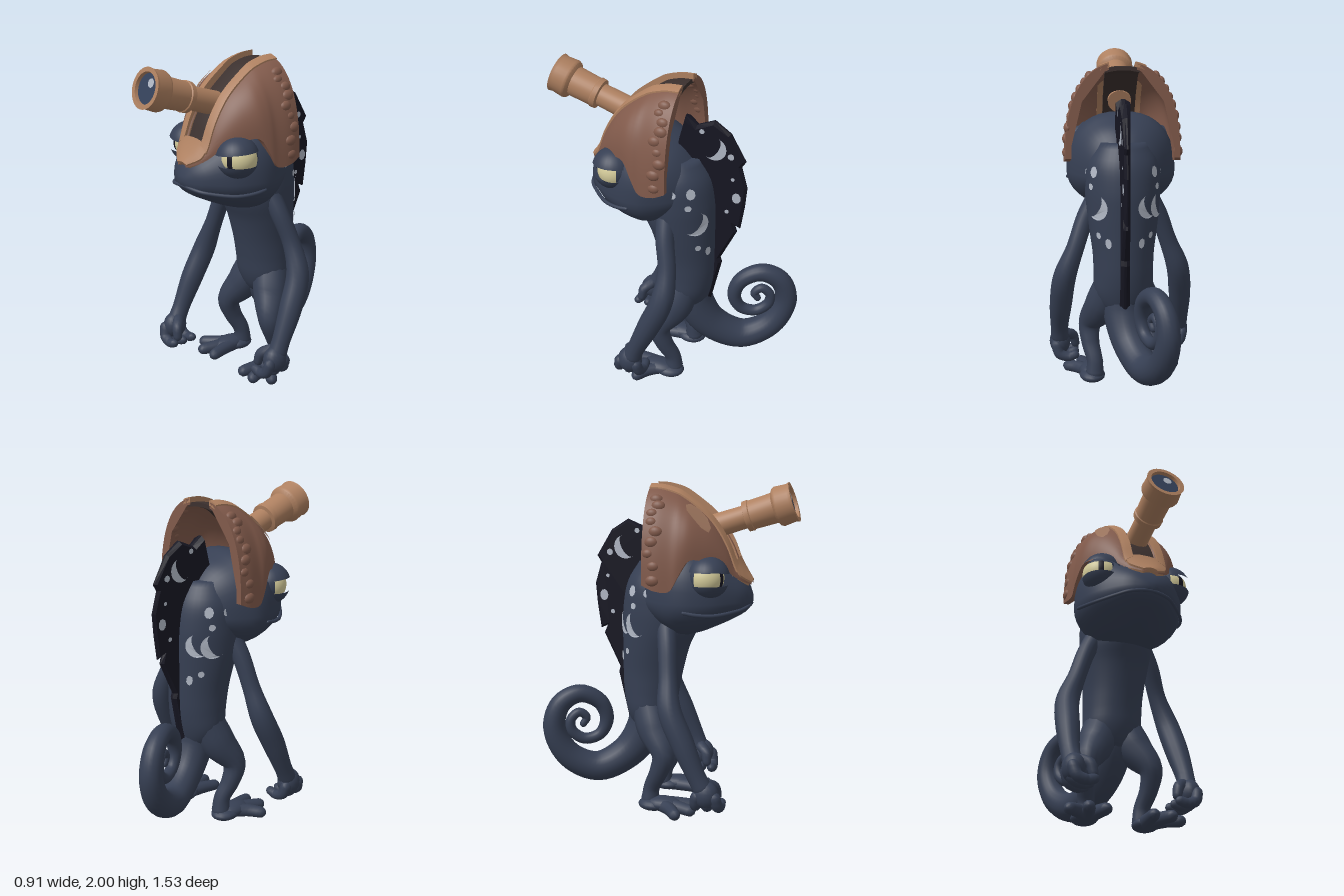
import * as THREE from 'three';
import { toCreasedNormals } from 'three/addons/utils/BufferGeometryUtils.js';

const V = (x, y, z) => new THREE.Vector3(x, y, z);
const mat = (name, color, side = THREE.FrontSide) => {
  const m = new THREE.MeshStandardMaterial({ color, side });
  m.name = name;
  return m;
};

// Smooth interpolation in a table of rows [key, ...values]
function at(rows, k) {
  let i = 0;
  while (i < rows.length - 2 && k > rows[i + 1][0]) i++;
  const h = rows[i + 1][0] - rows[i][0], t = THREE.MathUtils.clamp((k - rows[i][0]) / h, 0, 1);
  return rows[0].slice(1).map((_, c) => {
    const slope = j => {
      const a = rows[Math.max(j - 1, 0)], b = rows[Math.min(j + 1, rows.length - 1)];
      return (b[c + 1] - a[c + 1]) / (b[0] - a[0]);
    };
    const p = rows[i][c + 1], q = rows[i + 1][c + 1], t2 = t * t, t3 = t2 * t;
    return p * (2 * t3 - 3 * t2 + 1) + slope(i) * h * (t3 - 2 * t2 + t) + q * (3 * t2 - 2 * t3) + slope(i + 1) * h * (t3 - t2);
  });
}

// Closed skin over a list of rings, always facing outwards
function loft(rings) {
  const n = rings[0].length, pts = rings.flat(), idx = [];
  const mid = r => r.reduce((a, p) => a.add(p), V(0, 0, 0)).divideScalar(n);
  rings.slice(1).forEach((_, i) => {
    for (let j = 0; j < n; j++) {
      const a = i * n + j, b = i * n + (j + 1) % n;
      idx.push(a, b, a + n, b, b + n, a + n);
    }
  });
  const c0 = pts.length, last = (rings.length - 1) * n;
  pts.push(mid(rings[0]), mid(rings[rings.length - 1]));
  for (let j = 0; j < n; j++) {
    const k = (j + 1) % n;
    idx.push(c0, k, j, c0 + 1, last + j, last + k);
  }
  let vol = 0;
  for (let i = 0; i < idx.length; i += 3) vol += pts[idx[i]].dot(V(0, 0, 0).crossVectors(pts[idx[i + 1]], pts[idx[i + 2]]));
  if (vol < 0) idx.reverse();
  const g = new THREE.BufferGeometry().setFromPoints(pts);
  g.setIndex(idx);
  g.computeVertexNormals();
  return g;
}

// Tapered round-ended tube through points [x, y, z, radius]
function limb(pts, steps = 6, sides = 14, ref = V(1, 0.1, 0.25)) {
  const curve = new THREE.CatmullRomCurve3(pts.map(p => V(p[0], p[1], p[2])));
  const rad = pts.map((p, i) => [i, p[3]]), n = (pts.length - 1) * steps, rings = [];
  const ring = (c, t, r) => {
    const a = ref.clone().addScaledVector(t, -ref.dot(t)).normalize(), b = V(0, 0, 0).crossVectors(t, a);
    rings.push(Array.from({ length: sides }, (_, j) => {
      const q = j / sides * Math.PI * 2;
      return c.clone().addScaledVector(a, Math.cos(q) * r).addScaledVector(b, Math.sin(q) * r);
    }));
  };
  for (let i = 0; i <= n; i++) {
    const c = curve.getPoint(i / n), t = curve.getTangent(i / n), r = at(rad, i / steps)[0];
    const cap = (q, d) => ring(c.clone().addScaledVector(t, d * r * Math.sin(q)), t, r * Math.cos(q));
    if (i === 0) [1.4, 1, 0.5].forEach(q => cap(q, -1));
    ring(c, t, r);
    if (i === n) [0.5, 1, 1.4].forEach(q => cap(q, 1));
  }
  return loft(rings);
}

// Profiles: body [y, zCentre, halfWidth, halfDepth], head [z, halfWidth, top, bottom], helmet [z, halfWidth, top, bottom]
const BODY = [[0.46, -0.14, 0.06, 0.06], [0.5, -0.135, 0.12, 0.11], [0.6, -0.13, 0.175, 0.15], [0.72, -0.13, 0.18, 0.17], [0.85, -0.12, 0.185, 0.185],
  [1, -0.1, 0.205, 0.205], [1.12, -0.075, 0.22, 0.23], [1.25, -0.07, 0.225, 0.23], [1.4, -0.07, 0.21, 0.2], [1.52, -0.05, 0.15, 0.15]];
const HEAD = [[-0.2, 0.12, 1.46, 1.25], [-0.1, 0.23, 1.58, 1.17], [0, 0.3, 1.64, 1.1], [0.08, 0.33, 1.67, 1.08], [0.18, 0.325, 1.65, 1.1],
  [0.3, 0.275, 1.57, 1.15], [0.4, 0.19, 1.47, 1.2], [0.46, 0.115, 1.4, 1.24], [0.488, 0.04, 1.34, 1.28]];
const HELMET = [[-0.106, 0.34, 1.985, 1.42], [-0.03, 0.35, 1.98, 1.39], [0.06, 0.34, 1.955, 1.39], [0.1, 0.335, 1.93, 1.46], [0.16, 0.31, 1.885, 1.56], [0.24, 0.265, 1.82, 1.56],
  [0.3, 0.225, 1.75, 1.54], [0.36, 0.18, 1.65, 1.5], [0.4, 0.145, 1.55, 1.46], [0.44, 0.11, 1.48, 1.43], [0.485, 0.04, 1.42, 1.4]];

const FULL = 2.4; // roundness of the helmet arch
const soft = v => Math.sign(v) * Math.abs(v) ** (2 / FULL);
const steps = (a, b, n) => Array.from({ length: n + 1 }, (_, i) => a + (b - a) * i / n);
const onHelmet = (x, z, lift) => {
  const [w, t, b] = at(HELMET, z), u = THREE.MathUtils.clamp(x, -w * 0.97, w * 0.97);
  return V(u, b + (t - b) * (1 - Math.abs(u / w) ** FULL) ** (1 / FULL) + lift * 0.8, z + lift * 0.65 * THREE.MathUtils.clamp((z + 0.106) / 0.3, 0, 1));
};
// Solid band lying along the helmet, rounded off towards the brow
const strip = (x0, x1, z0, z1, low, high) => toCreasedNormals(loft(steps(z0, z1, 32).map(z => {
  const k = Math.sqrt(1 - (Math.max(0, z - 0.385) / 0.103) ** 2);
  return [...steps(x0 * k, x1 * k, 8).map(x => onHelmet(x, z, high)), ...steps(x1 * k, x0 * k, 8).map(x => onHelmet(x, z, low))];
})), 0.7);

// One half of the helmet shell, open at the back and along the slot
function helmetHalf(s) {
  const zs = steps(-0.106, 0.485, 44), n = 18;
  const ring = (z, squash) => {
    const [w, t, b] = at(HELMET, z), th = Math.min(0.035, w * 0.35, (t - b) * 0.4);
    const q0 = Math.asin(Math.min(0.09 / w, 0.6) ** (FULL / 2));
    const arc = d => steps(q0, Math.PI / 2, n).map(q => V(s * (w - d) * soft(Math.sin(q)), b + (t - b - d) * soft(Math.cos(q)), z));
    return [...arc(squash ? th / 2 : 0), ...arc(squash ? th / 2 : th).reverse()];
  };
  return toCreasedNormals(loft([ring(zs[0], true), ...zs.map(z => ring(z, false)), ring(zs[44], true)]), 0.8);
}

// Flat outlines: first coordinate towards the front, second upwards
const blob = (z, y, r, k = 1) => steps(0, Math.PI * 2, 9).slice(0, 9).map(a => new THREE.Vector2(z + r * Math.cos(a), y + r * k * Math.sin(a)));
const moon = (z, y, r, tilt) => [...steps(-1.9, 1.9, 14).map(a => [Math.cos(a), Math.sin(a)]),
  ...steps(1.9, -1.9, 14).slice(1, -1).map(a => [Math.cos(a) * 0.5 - 0.16, Math.sin(a)])]
  .map(([u, v]) => new THREE.Vector2(-u * r, v * r).rotateAround(new THREE.Vector2(), tilt).add(new THREE.Vector2(z, y)));
// Lays an outline onto a surface given by a rule
function decal(outline, rule) {
  const g = new THREE.ShapeGeometry(new THREE.Shape(outline)), p = g.attributes.position;
  for (let i = 0; i < p.count; i++) p.setXYZ(i, ...rule(p.getX(i), p.getY(i)));
  g.computeVertexNormals();
  return g;
}
const crestTaper = z => 1 + (z + 0.15) * 1.9;

export function createModel() {
  const root = new THREE.Group();
  root.name = 'chameleonWithTelescopeHelmet';
  const skin = mat('skin', 0x363f53), crestMat = mat('crest', 0x161622), copper = mat('copper', 0x815a4b), brass = mat('brass', 0xae8060),
    slot = mat('slot', 0x3b302e), eyeMat = mat('eye', 0xd6cd9c, THREE.DoubleSide), star = mat('star', 0xb0b7c4, THREE.DoubleSide), glass = mat('glass', 0x34415a, THREE.DoubleSide);
  const add = (name, geo, m, parent = root) => {
    const o = new THREE.Mesh(geo, m);
    o.name = name;
    parent.add(o);
    return o;
  };
  const ball = (name, m, x, y, z, a, b, c) => {
    const o = add(name, new THREE.SphereGeometry(1, 18, 12), m);
    o.position.set(x, y, z);
    o.scale.set(a, b, c);
    return o;
  };
  const around = steps(0, Math.PI * 2, 40).slice(0, 40);

  // Torso and head
  add('torso', loft(steps(0.46, 1.52, 36).map(y => {
    const [c, w, d] = at(BODY, y);
    return around.map(a => V(w * Math.cos(a), y, c + d * Math.sin(a)));
  })), skin);
  add('head', loft(steps(-0.2, 0.488, 36).map(z => {
    const [w, t, b] = at(HEAD, z);
    return around.map(a => Math.cos(a) > 0 ? V(w * soft(Math.sin(a)), 1.31 + soft(Math.cos(a)) * (t - 1.31), z) : V(w * Math.sin(a), 1.31 + Math.cos(a) * (1.31 - b), z));
  })), skin);
  const lip = [0.14, 0.2, 0.3, 0.4, 0.455].map(z => [at(HEAD, z)[0] * 0.98, 1.27 - 0.025 * Math.sin((z - 0.12) * 9), z, 0.011]);
  add('lip', limb([...lip.map(p => [-p[0], ...p.slice(1)]), [0, 1.28, 0.478, 0.012], ...lip.reverse()], 5, 8, V(0, 1, 0)), skin);

  // Curled tail in a slanted plane: [z, y, radius]
  const tail = [[-0.13, 0.66, 0.13], [-0.17, 0.47, 0.122], [-0.28, 0.31, 0.105], [-0.455, 0.225, 0.093], [-0.62, 0.31, 0.08], [-0.7, 0.49, 0.07], [-0.66, 0.64, 0.063],
    [-0.55, 0.7, 0.056], [-0.435, 0.64, 0.049], [-0.4, 0.53, 0.043], [-0.44, 0.435, 0.037], [-0.53, 0.41, 0.035], [-0.6, 0.465, 0.033], [-0.605, 0.535, 0.03],
    [-0.557, 0.58, 0.028], [-0.515, 0.545, 0.025], [-0.535, 0.505, 0.022]];
  add('tail', limb(tail.map(([z, y, r]) => [0.43 * Math.min(0, z + 0.2), y, z, r]), 6, 18, V(1, 0, -0.43)), skin);

  // Jagged back crest, thinner towards its outer edge
  const crest = [[-0.03, 1.5], [-0.1, 1.77], [-0.17, 1.72], [-0.275, 1.765], [-0.375, 1.7], [-0.47, 1.54], [-0.445, 1.5], [-0.483, 1.37], [-0.472, 1.24], [-0.45, 1.09],
    [-0.41, 1.11], [-0.43, 1.06], [-0.33, 0.85], [-0.34, 0.82], [-0.275, 0.53], [-0.2, 0.6], [-0.2, 1.2]];
  const crestGeo = new THREE.ExtrudeGeometry(new THREE.Shape(crest.map(p => new THREE.Vector2(...p))),
    { depth: 0.02, bevelThickness: 0.03, bevelSize: 0.015, bevelOffset: -0.015, bevelSegments: 1 });
  crestGeo.translate(0, 0, -0.01).rotateY(-Math.PI / 2);
  const cp = crestGeo.attributes.position;
  for (let i = 0; i < cp.count; i++) cp.setX(i, cp.getX(i) * crestTaper(cp.getZ(i)));
  crestGeo.computeVertexNormals();
  add('backCrest', crestGeo, crestMat);

  for (const s of [1, -1]) {
    const flip = p => [s * p[0], ...p.slice(1)];

    // Moons and stars on the crest
    const crestMarks = [moon(-0.285, 1.6, 0.072, 0.5), blob(-0.385, 1.565, 0.02), blob(-0.425, 1.3, 0.027, 1.3), blob(-0.21, 1.7, 0.016), blob(-0.4, 1.42, 0.012), blob(-0.37, 1.2, 0.014)];
    crestMarks.forEach(o => add('crestMark', decal(o, (z, y) => [s * (0.04 * crestTaper(z) + 0.003), y, z]), star));
    // Marks wrapped around the back, placed by distance from the flank
    const bodyMarks = [blob(-0.03, 1.352, 0.024), blob(-0.14, 1.358, 0.028, 1.2), blob(-0.12, 1.27, 0.02), blob(-0.23, 0.945, 0.022, 1.4), blob(-0.16, 0.985, 0.02)];
    bodyMarks.push(...(s > 0 ? [moon(-0.16, 1.155, 0.078, 0.6)] : [moon(-0.105, 1.155, 0.075, 0.5), moon(-0.195, 1.16, 0.07, 0.5)]));
    bodyMarks.forEach(o => add('bodyMark', decal(o, (u, y) => {
      const [c, w, d] = at(BODY, y), a = u / 0.215;
      return [s * (w + 0.007) * Math.cos(a), y, c + (d + 0.007) * Math.sin(a)];
    }), star));

    // Turret eyes sunk between heavy lids, the upper one drooping inwards
    const dome = (name, r, m, z, a0, a1, t0, t1) => {
      const phi = Math.PI / 2 + (s > 0 ? a0 : -a1);
      const o = add(name, new THREE.SphereGeometry(r, 28, 14, phi, a1 - a0, t0, t1 - t0), m);
      o.position.set(s * 0.222, 1.458, z);
      return o;
    };
    dome('eyeball', 0.108, skin, 0.245, 0, Math.PI * 2, 0, Math.PI);
    dome('eye', 0.111, eyeMat, 0.245, -0.3, 2, 1.2, 1.95);
    dome('pupil', 0.114, crestMat, 0.245, 0.2, 0.5, 1.2, 1.95);
    dome('upperLid', 0.127, skin, 0.262, 0, Math.PI * 2, 0, 1.34).rotation.z = s * 0.14;
    dome('lowerLid', 0.123, skin, 0.262, 0, Math.PI * 2, 1.87, Math.PI);

    // Arms, the right one swung forward
    const swing = s > 0 ? [0, 0, 0, 0, 0, 0, 0] : [0.04, 0.08, 0.14, 0.16, 0.17, 0.17, 0.18];
    const arm = [[0.16, 1.17, -0.04, 0.06], [0.225, 1.05, -0.06, 0.056], [0.29, 0.87, -0.1, 0.055], [0.355, 0.69, -0.095, 0.07], [0.38, 0.5, -0.02, 0.07], [0.39, 0.32, 0.06, 0.056], [0.388, 0.24, 0.09, 0.058]];
    add('arm', limb(arm.map((p, i) => flip([p[0], p[1], p[2] + swing[i], p[3]]))), skin);
    const hz = 0.11 + swing[6];
    ball('palm', skin, s * 0.388, 0.2, hz, 0.066, 0.085, 0.078);
    for (const d of [-0.05, 0.005, 0.06])
      add('finger', limb([[0.41, 0.19, hz + d, 0.036], [0.392, 0.135, hz + d * 1.2, 0.034], [0.34, 0.115, hz + d * 1.3, 0.031], [0.295, 0.125, hz + d * 1.3, 0.028]].map(flip), 4, 10), skin);
    add('thumb', limb([[0.35, 0.25, hz, 0.036], [0.305, 0.22, hz + 0.04, 0.033], [0.29, 0.165, hz + 0.05, 0.028]].map(flip), 4, 10), skin);

    // Bent legs and splayed feet
    add('leg', limb([[0.07, 0.64, -0.13, 0.11], [0.125, 0.5, -0.08, 0.11], [0.2, 0.36, -0.01, 0.073], [0.2, 0.25, -0.04, 0.057], [0.175, 0.14, -0.09, 0.05], [0.175, 0.06, -0.1, 0.057]].map(flip)), skin);
    ball('heel', skin, s * 0.19, 0.04, -0.075, 0.08, 0.04, 0.095);
    ball('instep', skin, s * 0.2, 0.05, -0.01, 0.07, 0.045, 0.11);
    for (const [x, z] of [[0.145, 0.155], [0.25, 0.165], [0.335, 0.09]])
      add('toe', limb([[0.18, 0.045, -0.07, 0.045], [0.18 + (x - 0.18) * 0.55, 0.042, z * 0.45, 0.04], [x, 0.036, z, 0.036]].map(flip), 4, 10), skin);

    // Helmet side with edging along the slot and low lumps along the rim
    add('helmetSide', helmetHalf(s), copper);
    add('slotEdging', strip(s * 0.08, s * 0.135, -0.106, 0.41, -0.03, 0.01), brass);
    for (let i = 0; i < 9; i++) {
      const q = 0.55 + i * 0.12, [w, t, b] = at(HELMET, -0.04), r = 0.02 + 0.007 * Math.abs(Math.sin(i * 2.3 + s));
      ball('rimLump', copper, s * (w - 0.014) * soft(Math.sin(q)), b + (t - b - 0.014) * soft(Math.cos(q)), -0.05 + 0.02 * Math.sin(i * 1.9), r, r * 1.3, r * 1.6);
    }
  }
  add('browPlate', strip(-0.13, 0.13, 0.4, 0.485, -0.02, 0.01), brass);
  add('slotFloor', strip(-0.1, 0.1, -0.1, 0.42, -0.06, -0.03), slot);
  add('helmetSpot', decal(blob(-0.2, 0.19, 0.042, 1.75), (x, z) => onHelmet(x, z, 0.014).toArray()), mat('wornCopper', 0x9a735c, THREE.DoubleSide));

  // Telescope along its own axis
  const scope = new THREE.Group();
  scope.name = 'telescope';
  scope.position.set(0, 1.715, 0.2);
  scope.rotation.x = 1.255;
  root.add(scope);
  const profile = [[0, 0], [0.072, 0], [0.068, 0.25], [0.09, 0.255], [0.092, 0.285], [0.086, 0.29], [0.09, 0.43], [0.112, 0.445], [0.118, 0.46], [0.112, 0.53], [0.118, 0.55], [0.092, 0.55], [0.086, 0.52]];
  add('telescopeTube', toCreasedNormals(new THREE.LatheGeometry(profile.map(p => new THREE.Vector2(...p)), 32), 0.6), brass, scope);
  const disc = (name, r, m, x, y, z) => add(name, new THREE.CircleGeometry(r, 24).rotateX(-Math.PI / 2), m, scope).position.set(x, y, z);
  disc('lens', 0.09, glass, 0, 0.53, 0);
  disc('lensGlint', 0.026, star, 0.022, 0.535, -0.035);
  return root;
}
